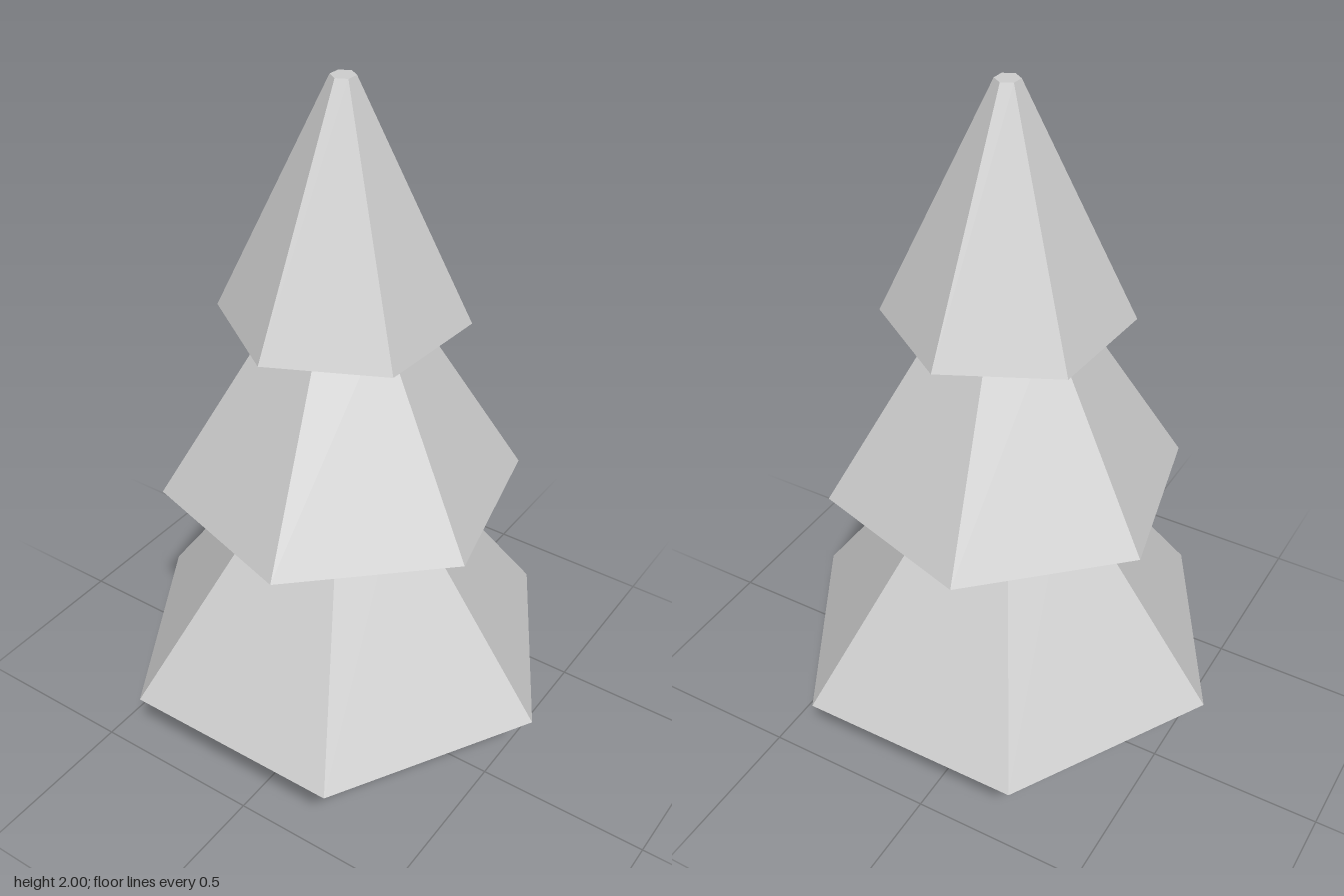
import * as THREE from 'three';

export function createModel() {
  const group = new THREE.Group();
  group.name = 'pineTree';
  const grey = new THREE.MeshStandardMaterial({ color: 0xcccccc, flatShading: true });
  grey.name = 'light grey';

  // Tapered prism with one corner at the given angle from +x towards +z
  function taper(name, sides, y0, y1, r0, r1, degrees) {
    const start = Math.PI / 2 - THREE.MathUtils.degToRad(degrees);
    const geometry = new THREE.CylinderGeometry(r1, r0, y1 - y0, sides, 1, false, start);
    const mesh = new THREE.Mesh(geometry, grey);
    mesh.name = name;
    mesh.position.y = (y0 + y1) / 2;
    group.add(mesh);
  }

  // Five-sided trunk, ending just inside the lowest tier
  taper('trunk', 5, 0, 0.3, 0.073, 0.059, 0);

  // Six-sided foliage tiers, each twisted about 17 degrees from the one below
  taper('lowerFoliage', 6, 0.28, 0.9, 0.633, 0.181, 0);
  taper('middleFoliage', 6, 0.86, 1.41, 0.492, 0.156, 17);
  taper('upperFoliage', 6, 1.37, 2, 0.327, 0.032, 34.2);

  return group;
}
